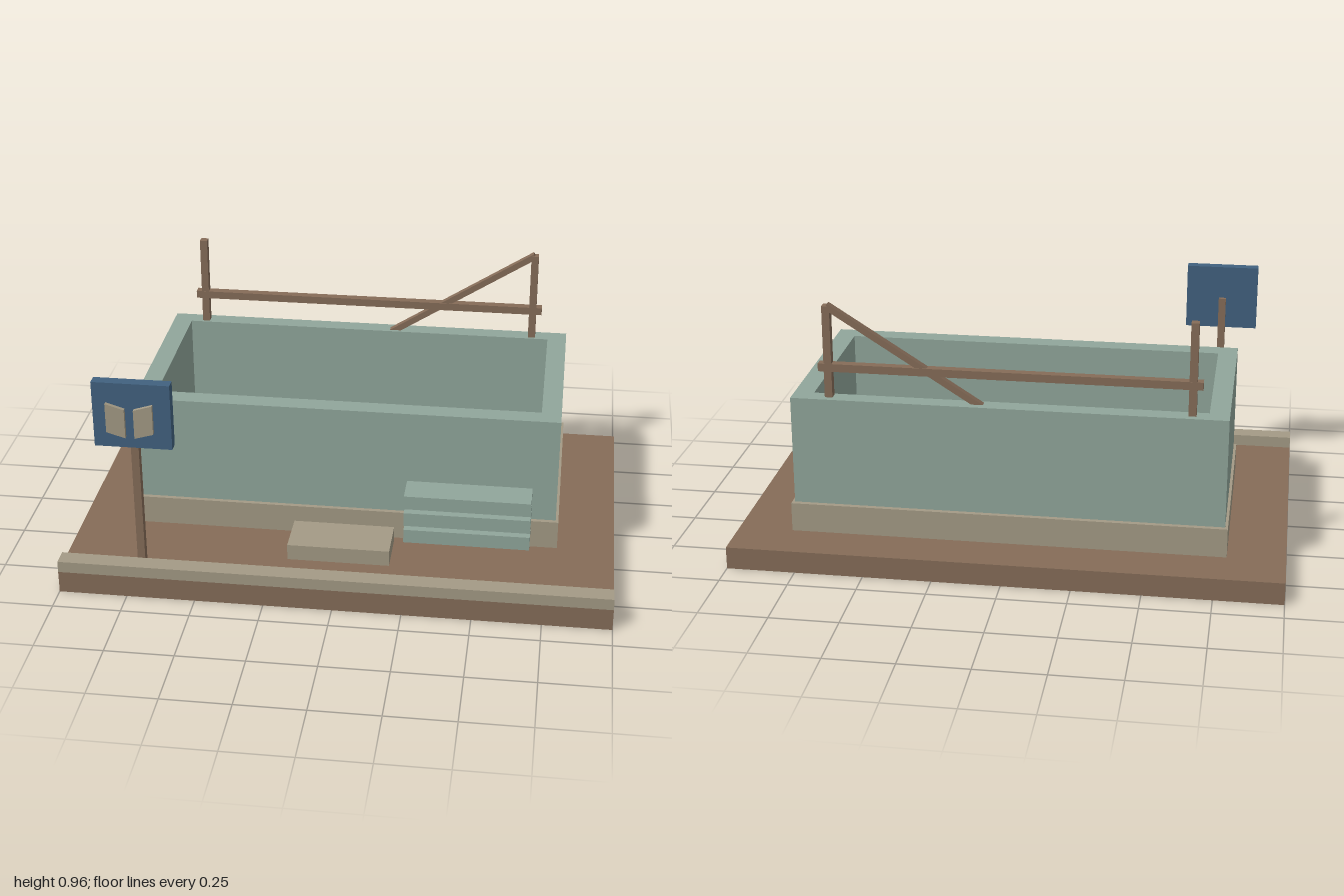
import * as THREE from 'three';

export function createModel() {
  const model = new THREE.Group();
  const material = (name, color) => {
    const m = new THREE.MeshStandardMaterial({ color });
    m.name = name;
    return m;
  };
  const brown = material('brown wood', 0x856c58);
  const tan = material('tan stone', 0xa39a85);
  const green = material('grey green', 0x90a69b);
  const blue = material('sign blue', 0x41617f);

  const add = (name, geometry, mat) => {
    const mesh = new THREE.Mesh(geometry, mat);
    mesh.name = name;
    model.add(mesh);
    return mesh;
  };
  // Box given by its lower and upper limits on each axis
  const box = (name, mat, [x0, x1], [y0, y1], [z0, z1]) => {
    const mesh = add(name, new THREE.BoxGeometry(x1 - x0, y1 - y0, z1 - z0), mat);
    mesh.position.set((x0 + x1) / 2, (y0 + y1) / 2, (z0 + z1) / 2);
    return mesh;
  };

  // Ground, kerb and foundation
  box('ground', brown, [-1, 1], [0, 0.083], [-0.652, 0.652]);
  box('kerb', tan, [-1, 1], [0.083, 0.126], [0.585, 0.652]);
  box('foundation', tan, [-0.79, 0.79], [0.1, 0.208], [-0.51, 0.288]);
  box('frontSlab', tan, [-0.187, 0.187], [0.09, 0.15], [0.297, 0.472]);

  // Open rectangular walls: an outline with a hole, raised upwards
  const rectangle = (shape, x, z0, z1) => {
    shape.moveTo(-x, -z1).lineTo(x, -z1).lineTo(x, -z0).lineTo(-x, -z0).closePath();
    return shape;
  };
  const outline = rectangle(new THREE.Shape(), 0.78, -0.492, 0.272);
  outline.holes.push(rectangle(new THREE.Path(), 0.708, -0.428, 0.2));
  const walls = new THREE.ExtrudeGeometry(outline, { depth: 0.404, bevelEnabled: false });
  walls.rotateX(-Math.PI / 2);
  add('walls', walls, green).position.y = 0.208;

  // Stacked ledges passing through the front wall
  for (let i = 0; i < 3; i++) {
    const y = 0.143 + i * 0.07;
    box('ledge', green, [0.23, 0.69], [y, y + 0.053], [0.192, 0.388]);
  }

  // Timber frame on the back wall
  for (const x of [-0.65, 0.645]) {
    box('framePost', brown, [x - 0.014, x + 0.014], [0.6, 0.953], [-0.468, -0.438]);
  }
  box('frameBeam', brown, [-0.685, 0.68], [0.71, 0.739], [-0.469, -0.437]);
  const start = new THREE.Vector2(0.09, 0.6), end = new THREE.Vector2(0.645, 0.952);
  const span = end.clone().sub(start);
  const brace = add('frameBrace', new THREE.BoxGeometry(span.length(), 0.023, 0.025), brown);
  brace.position.set((start.x + end.x) / 2, (start.y + end.y) / 2, -0.453);
  brace.rotation.z = span.angle();

  // Sign board on a post
  box('signPost', brown, [-0.718, -0.69], [0.083, 0.716], [0.556, 0.586]);
  box('signBoard', blue, [-0.84, -0.563], [0.594, 0.842], [0.571, 0.611]);

  // Pair of slanted pages in front of the board, mirrored about its centre
  for (const side of [-1, 1]) {
    const page = new THREE.Shape([
      [0.016, 0.648], [0.083, 0.668], [0.083, 0.778], [0.016, 0.757],
    ].map(([x, y]) => new THREE.Vector2(-0.703 + side * x, y)));
    const geometry = new THREE.ExtrudeGeometry(page, { depth: 0.014, bevelEnabled: false });
    add('signPage', geometry, tan).position.z = 0.632;
  }

  return model;
}
